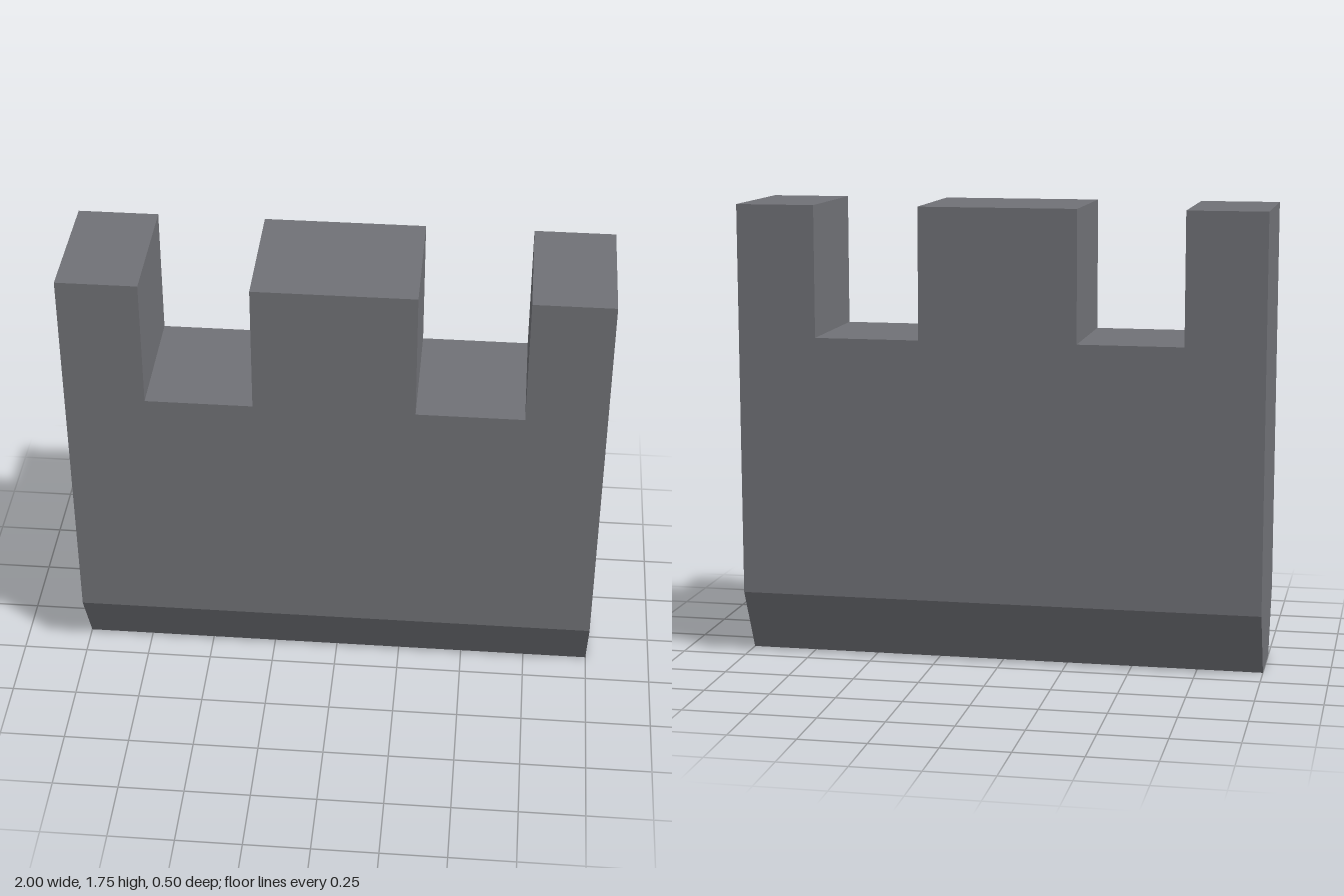
import * as THREE from 'three';

const WIDTH = 2, DEPTH = 0.5, HEIGHT = 1.75;
const BEVEL_TOP = 0.25, NOTCH_FLOOR = 1.25;

// Extrude an outline given as [x, y] points, centred on z = 0
function extrudeCentred(points, depth) {
  const shape = new THREE.Shape(points.map(([x, y]) => new THREE.Vector2(x, y)));
  const geometry = new THREE.ExtrudeGeometry(shape, { depth, bevelEnabled: false });
  return geometry.translate(0, 0, -depth / 2);
}

export function createModel() {
  const group = new THREE.Group();
  group.name = 'notchedBlade';

  const grey = new THREE.MeshStandardMaterial({ color: 0x707176 });
  grey.name = 'steelGrey';

  // Upper slab with two square notches; right half mirrored to the left
  const rightHalf = [
    [1, BEVEL_TOP], [1, HEIGHT], [0.7, HEIGHT],
    [0.7, NOTCH_FLOOR], [0.3, NOTCH_FLOOR], [0.3, HEIGHT],
  ];
  const leftHalf = rightHalf.map(([x, y]) => [-x, y]).reverse();
  const slab = new THREE.Mesh(extrudeCentred([...rightHalf, ...leftHalf], DEPTH), grey);
  slab.name = 'notchedSlab';
  group.add(slab);

  // Lower edge, tapering to half the thickness, extruded along x
  const taper = [
    [-DEPTH / 4, 0], [DEPTH / 4, 0],
    [DEPTH / 2, BEVEL_TOP], [-DEPTH / 2, BEVEL_TOP],
  ];
  const edge = new THREE.Mesh(extrudeCentred(taper, WIDTH).rotateY(Math.PI / 2), grey);
  edge.name = 'taperedEdge';
  group.add(edge);

  return group;
}
